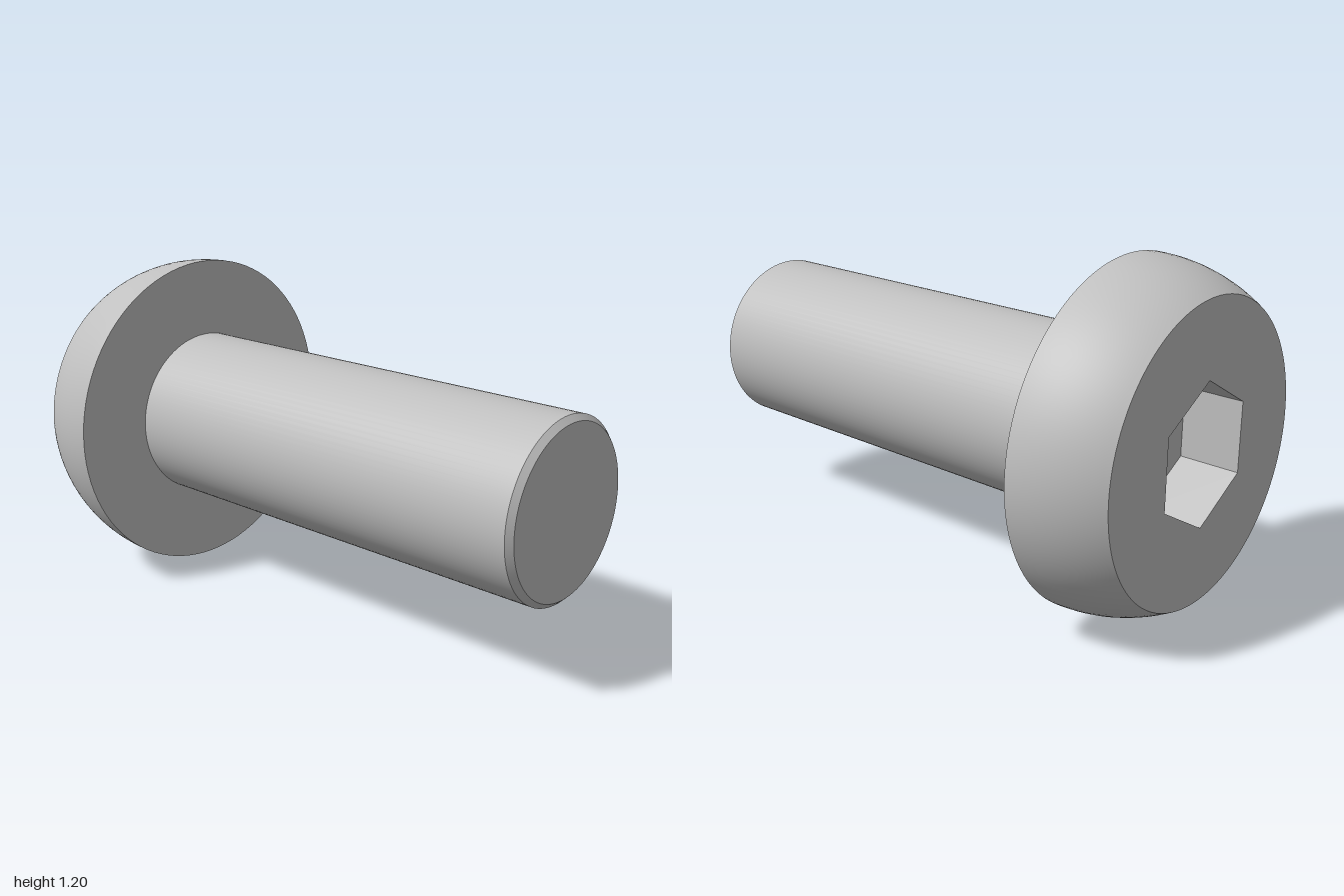
import * as THREE from 'three';

const AXIS_Y = 0.6;        // height of the screw axis
const HEAD_R = 0.6;        // head radius, also the dome's sphere radius
const HEAD_Z = -0.6875;    // underside of the head
const BACK_Z = -1;         // flat outer face of the head
const SHANK_R = 0.314;
const CHAMFER = 0.02;
const HEX_R = 0.248;       // socket corner radius
const HEX_DEPTH = 0.218;
const FACE_R = Math.sqrt(HEAD_R ** 2 - (HEAD_Z - BACK_Z) ** 2);

// Turns an [r, z] profile about the z axis; z rising gives an outward surface
function turned(profile, segments = 96) {
  const pts = profile.map(([r, z]) => new THREE.Vector2(r, z));
  return new THREE.LatheGeometry(pts, segments).rotateX(Math.PI / 2);
}

export function createModel() {
  const steel = new THREE.MeshStandardMaterial({ color: 0xc0c0c0 });
  steel.name = 'steel grey';
  const model = new THREE.Group();
  model.name = 'socketScrew';

  const add = (name, geometry) => {
    const mesh = new THREE.Mesh(geometry, steel);
    mesh.name = name;
    mesh.position.y = AXIS_Y;
    model.add(mesh);
  };

  // Domed side of the head: part of a sphere centred on the underside
  const dome = [];
  const sweep = Math.acos(FACE_R / HEAD_R);
  for (let i = 0; i <= 16; i++) {
    const a = sweep * (1 - i / 16);
    dome.push([HEAD_R * Math.cos(a), HEAD_Z - HEAD_R * Math.sin(a)]);
  }
  add('headDome', turned(dome));
  add('headUnderside', turned([[HEAD_R, HEAD_Z], [SHANK_R, HEAD_Z]]));

  // Flat head face with a hexagonal opening, corners up and down
  const face = new THREE.Shape().absarc(0, 0, FACE_R, 0, Math.PI * 2);
  const hex = [];
  for (let i = 0; i < 6; i++) {
    const a = (i * Math.PI) / 3;
    hex.push(new THREE.Vector2(HEX_R * Math.sin(a), HEX_R * Math.cos(a)));
  }
  face.holes.push(new THREE.Path(hex));
  add('headFace', new THREE.ShapeGeometry(face, 96).rotateY(Math.PI).translate(0, 0, BACK_Z));

  // Hexagonal socket: floor, then walls facing inwards
  const floorZ = BACK_Z + HEX_DEPTH;
  const socket = turned([[0, floorZ], [HEX_R, floorZ], [HEX_R, BACK_Z]], 6).toNonIndexed();
  socket.computeVertexNormals();
  add('hexSocket', socket);

  // Shank with a small chamfer and a flat tip
  add('shank', turned([[SHANK_R, HEAD_Z], [SHANK_R, 1 - CHAMFER]]));
  add('tipChamfer', turned([[SHANK_R, 1 - CHAMFER], [SHANK_R - CHAMFER, 1]]));
  add('tipFace', new THREE.CircleGeometry(SHANK_R - CHAMFER, 96).translate(0, 0, 1));

  return model;
}
